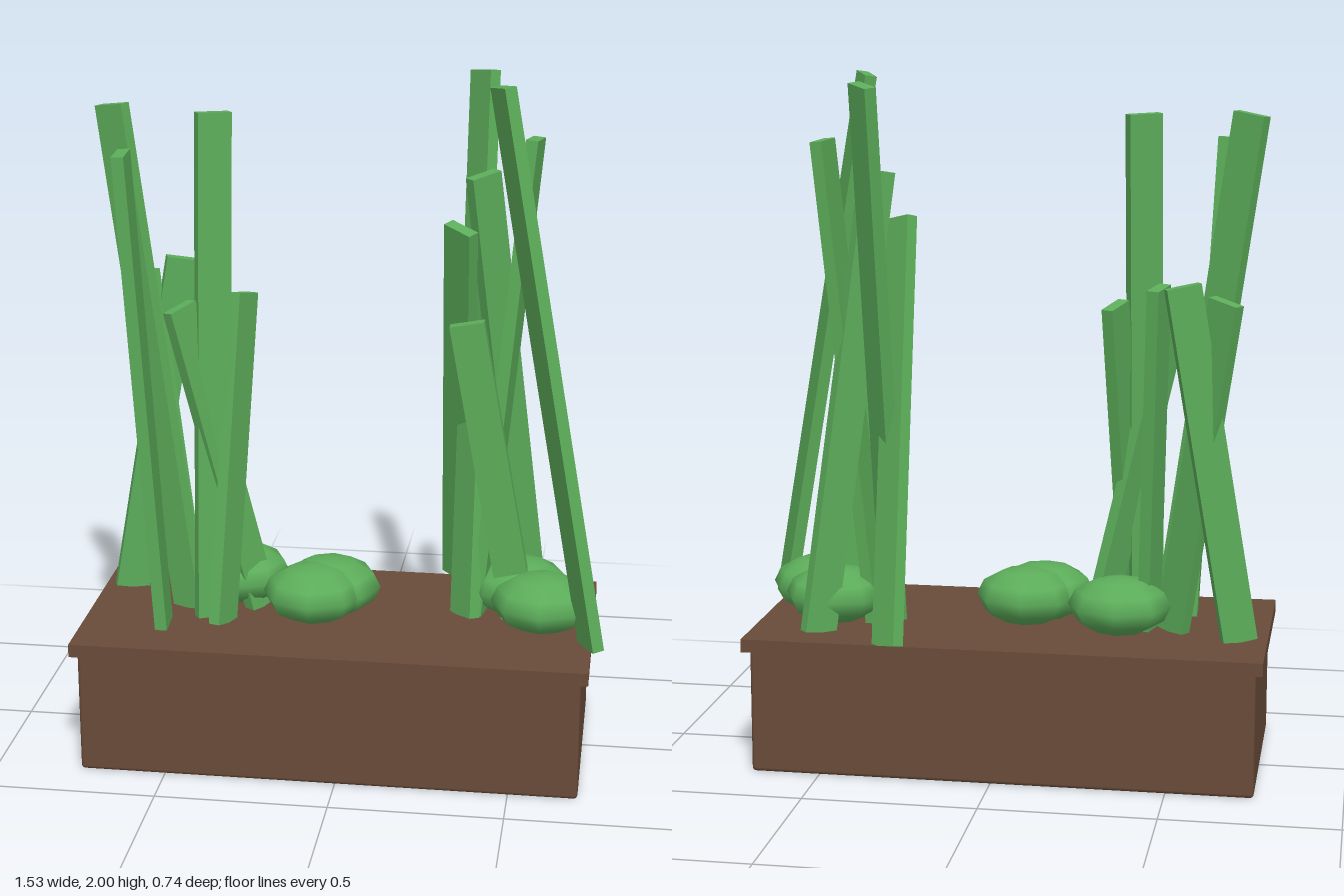
import * as THREE from 'three';
import { RoundedBoxGeometry } from 'three/addons/geometries/RoundedBoxGeometry.js';

const brown = new THREE.MeshStandardMaterial({ name: 'planterBrown', color: 0x694b39 });
const green = new THREE.MeshStandardMaterial({ name: 'leafGreen', color: 0x5cad5a });

export function createModel() {
  const model = new THREE.Group();
  model.name = 'planter';

  const add = (name, geometry, material, x, y, z, parent = model) => {
    const mesh = new THREE.Mesh(geometry, material);
    mesh.name = name;
    mesh.position.set(x, y, z);
    parent.add(mesh);
    return mesh;
  };

  // Trough with softened edges and an overhanging slab on top
  add('trough', new RoundedBoxGeometry(1.45, 0.38, 0.66, 2, 0.012), brown, -0.025, 0.19, 0.03);
  add('rim', new THREE.BoxGeometry(1.49, 0.038, 0.695), brown, -0.025, 0.381, 0.028);

  // Flattened round shrubs
  const shrubs = new THREE.Group();
  shrubs.name = 'shrubs';
  model.add(shrubs);
  const shrubShape = new THREE.SphereGeometry(0.15, 8, 6);
  shrubShape.scale(1, 0.56, 0.95);
  [[-0.34, -0.06], [-0.06, 0.01], [-0.1, 0.075], [0.5, -0.06], [0.57, 0.06]]
    .forEach(([x, z]) => add('shrub', shrubShape, green, x, 0.48, z, shrubs));

  // Tall blade: a thin bar from its base point to its top point, turned about its length
  const up = new THREE.Vector3(0, 1, 0);
  const addBlade = (parent, [bx, bz, tx, ty, tz, turn]) => {
    const base = new THREE.Vector3(bx, 0.4, bz);
    const axis = new THREE.Vector3(tx, ty - 0.008, tz).sub(base);
    const length = axis.length();
    const geometry = new THREE.BoxGeometry(0.1, length, 0.035);
    const mid = base.clone().addScaledVector(axis, 0.5);
    const blade = add('blade', geometry, green, mid.x, mid.y, mid.z, parent);
    const spin = new THREE.Quaternion().setFromAxisAngle(up, THREE.MathUtils.degToRad(turn));
    blade.quaternion.setFromUnitVectors(up, axis.normalize()).multiply(spin);
  };

  // Base x, base z, top x, top y, top z, turn in degrees
  const clumps = {
    rightBlades: [
      [-0.48, 0.04, -0.695, 1.9, -0.05, -28],
      [-0.53, 0.185, -0.6, 1.82, 0.255, -88],
      [-0.69, -0.1, -0.52, 1.43, -0.16, 20],
      [-0.4, 0.1, -0.39, 1.895, 0.01, 30],
      [-0.49, -0.02, -0.64, 1.39, -0.16, -35],
      [-0.36, 0.15, -0.32, 1.36, -0.05, 68],
      [-0.42, 0.0, -0.45, 1.42, -0.12, 75],
      [-0.27, 0.0, -0.48, 1.35, 0.1, 55],
    ],
    leftBlades: [
      [0.72, 0.19, 0.43, 2.0, 0.11, -62],
      [0.34, 0.0, 0.35, 1.98, -0.3, -50],
      [0.29, -0.32, 0.315, 1.59, 0.04, -40],
      [0.52, -0.2, 0.37, 1.73, -0.03, 42],
      [0.38, -0.04, 0.51, 1.82, -0.11, 80],
      [0.5, 0.0, 0.335, 1.31, 0.02, 0],
    ],
  };
  for (const [name, blades] of Object.entries(clumps)) {
    const clump = new THREE.Group();
    clump.name = name;
    model.add(clump);
    blades.forEach((blade) => addBlade(clump, blade));
  }

  return model;
}
